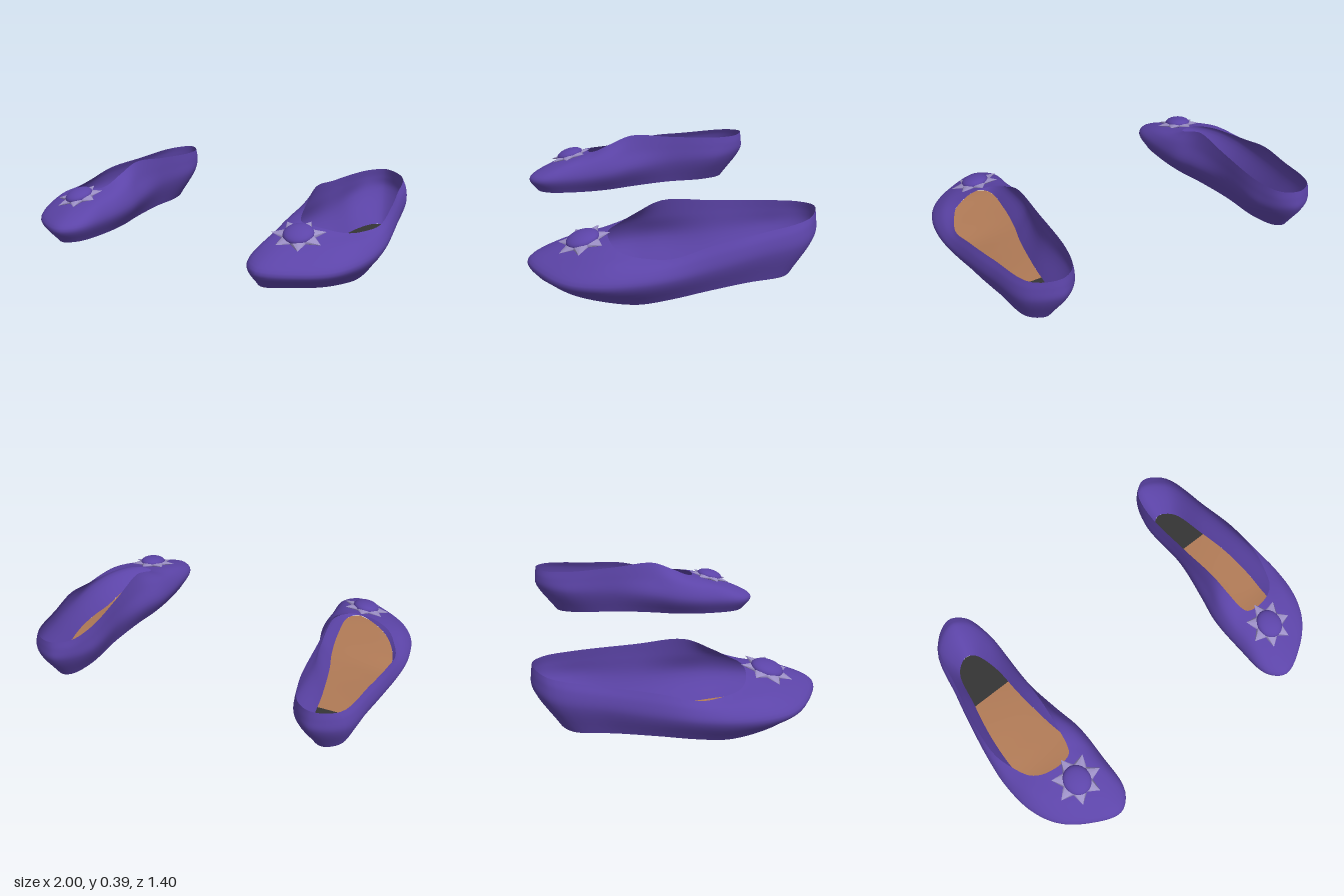
import * as THREE from 'three';

const mat = (name, color, side = THREE.DoubleSide) => {
  const m = new THREE.MeshStandardMaterial({ color, side });
  m.name = name;
  return m;
};

// Matching outlines of one shoe, [x, y, z]: heel, outer side, toe, inner side
const soleRing = [
  [.74, .057, -.575], [.82, .055, -.52], [.865, .055, -.32], [.90, .045, -.13], [.915, .022, .05], [.91, .005, .2],
  [.89, .022, .36], [.83, .035, .49], [.74, .045, .58], [.62, .045, .645], [.56, .045, .59], [.55, .04, .4],
  [.57, .04, .2], [.60, .045, .05], [.63, .055, -.2], [.645, .055, -.42], [.69, .057, -.55],
];
const wideRing = [
  [.70, .25, -.697], [.85, .23, -.61], [.915, .2, -.35], [.96, .17, -.13], [.99, .15, .05], [1, .14, .2],
  [.98, .13, .37], [.915, .12, .51], [.80, .12, .615], [.61, .125, .695], [.52, .13, .62], [.50, .14, .4],
  [.50, .16, .2], [.53, .18, .05], [.575, .2, -.2], [.57, .22, -.5], [.62, .24, -.64],
];
const shoulderRing = [
  [.70, .31, -.697], [.84, .3, -.615], [.91, .265, -.35], [.955, .235, -.13], [.975, .205, .05], [.97, .2, .19],
  [.93, .207, .33], [.87, .2, .43], [.77, .197, .51], [.63, .19, .59], [.55, .2, .53], [.53, .225, .36],
  [.53, .26, .2], [.56, .29, .05], [.575, .3, -.2], [.572, .295, -.5], [.615, .305, -.645],
];
const rimRing = [
  [.70, .36, -.69], [.82, .342, -.62], [.89, .31, -.35], [.935, .285, -.13], [.945, .24, .05], [.91, .235, .17],
  [.87, .24, .25], [.82, .25, .29], [.76, .262, .31], [.69, .27, .315], [.64, .275, .30], [.62, .29, .26],
  [.605, .335, .17], [.59, .388, .04], [.58, .372, -.2], [.58, .355, -.5], [.62, .355, -.64],
];

const ringCurve = pts => new THREE.CatmullRomCurve3(pts.map(p => new THREE.Vector3(...p)), true);

function gridGeometry(rows, closed) {
  const n = rows[0].length, pos = [], idx = [];
  rows.forEach(r => r.forEach(p => pos.push(p.x, p.y, p.z)));
  for (let i = 0; i < rows.length - 1; i++) {
    for (let j = 0; j < (closed ? n : n - 1); j++) {
      const a = i * n + j, b = i * n + (j + 1) % n;
      idx.push(a, a + n, b, b, a + n, b + n);
    }
  }
  const g = new THREE.BufferGeometry();
  g.setAttribute('position', new THREE.Float32BufferAttribute(pos, 3));
  g.setIndex(idx);
  g.computeVertexNormals();
  return g;
}

// Upper: a smooth skin through the four outlines, from sole edge to rim
function upperGeometry() {
  const N = 102, M = 16;
  const rings = [soleRing, wideRing, shoulderRing, rimRing].map(ringCurve);
  const rows = Array.from({ length: M + 1 }, () => []);
  for (let j = 0; j < N; j++) {
    const column = new THREE.CatmullRomCurve3(rings.map(r => r.getPoint(j / N)));
    rows.forEach((row, i) => row.push(column.getPoint(i / M)));
  }
  return gridGeometry(rows, true);
}

// Sole strip between two depths, spanning the outer and inner edges
function soleGeometry(z0, z1) {
  const pts = ringCurve(soleRing).getPoints(340);
  const edges = [pts.slice(0, 181), pts.slice(180).reverse()];
  const edgeAt = (edge, z) => {
    let i = edge.findIndex(p => p.z >= z);
    if (i < 0) i = edge.length - 1;
    if (i === 0) return edge[0].clone();
    const a = edge[i - 1], b = edge[i];
    return a.clone().lerp(b, THREE.MathUtils.clamp((z - a.z) / (b.z - a.z || 1), 0, 1));
  };
  const rows = [];
  for (let i = 0; i <= 30; i++) {
    const z = THREE.MathUtils.lerp(z0, z1, i / 30);
    const a = edgeAt(edges[0], z), b = edgeAt(edges[1], z);
    rows.push(Array.from({ length: 7 }, (_, k) => b.clone().lerp(a, k / 6)));
  }
  return gridGeometry(rows, false);
}

export function createModel() {
  const purple = mat('purple fabric', 0x5c44a8);
  const tan = mat('tan leather', 0xb07a56);
  const black = mat('black heel', 0x343434);
  const lavender = mat('lavender petal', 0x9c90c6);

  const add = (parent, name, geometry, material) => {
    const m = new THREE.Mesh(geometry, material);
    m.name = name;
    parent.add(m);
    return m;
  };

  const upper = upperGeometry();
  const sole = soleGeometry(-.3, .647);
  const heel = soleGeometry(-.578, -.3);
  const button = new THREE.SphereGeometry(1, 24, 14).scale(.073, .035, .082);
  const petal = new THREE.ConeGeometry(.05, .085, 8).rotateX(Math.PI / 2).scale(1, .3, 1).translate(0, 0, .092);

  function makeShoe(name) {
    const shoe = new THREE.Group();
    shoe.name = name;
    add(shoe, 'upper', upper, purple);
    add(shoe, 'sole', sole, tan);
    add(shoe, 'heelPad', heel, black);

    // Flower lying on the slope of the vamp
    const flower = new THREE.Group();
    flower.name = 'flower';
    flower.position.set(.69, .247, .43);
    flower.rotation.set(.27, 0, -.08);
    add(flower, 'flowerButton', button, purple).position.y = .008;
    for (let i = 0; i < 7; i++) {
      add(flower, 'petal', petal, lavender).rotation.set(0, .42 + i * Math.PI * 2 / 7, 0);
    }
    shoe.add(flower);
    return shoe;
  }

  const model = new THREE.Group();
  model.name = 'balletFlats';
  const left = makeShoe('leftShoe');
  const right = makeShoe('rightShoe');
  right.scale.x = -1;
  model.add(left, right);
  return model;
}
